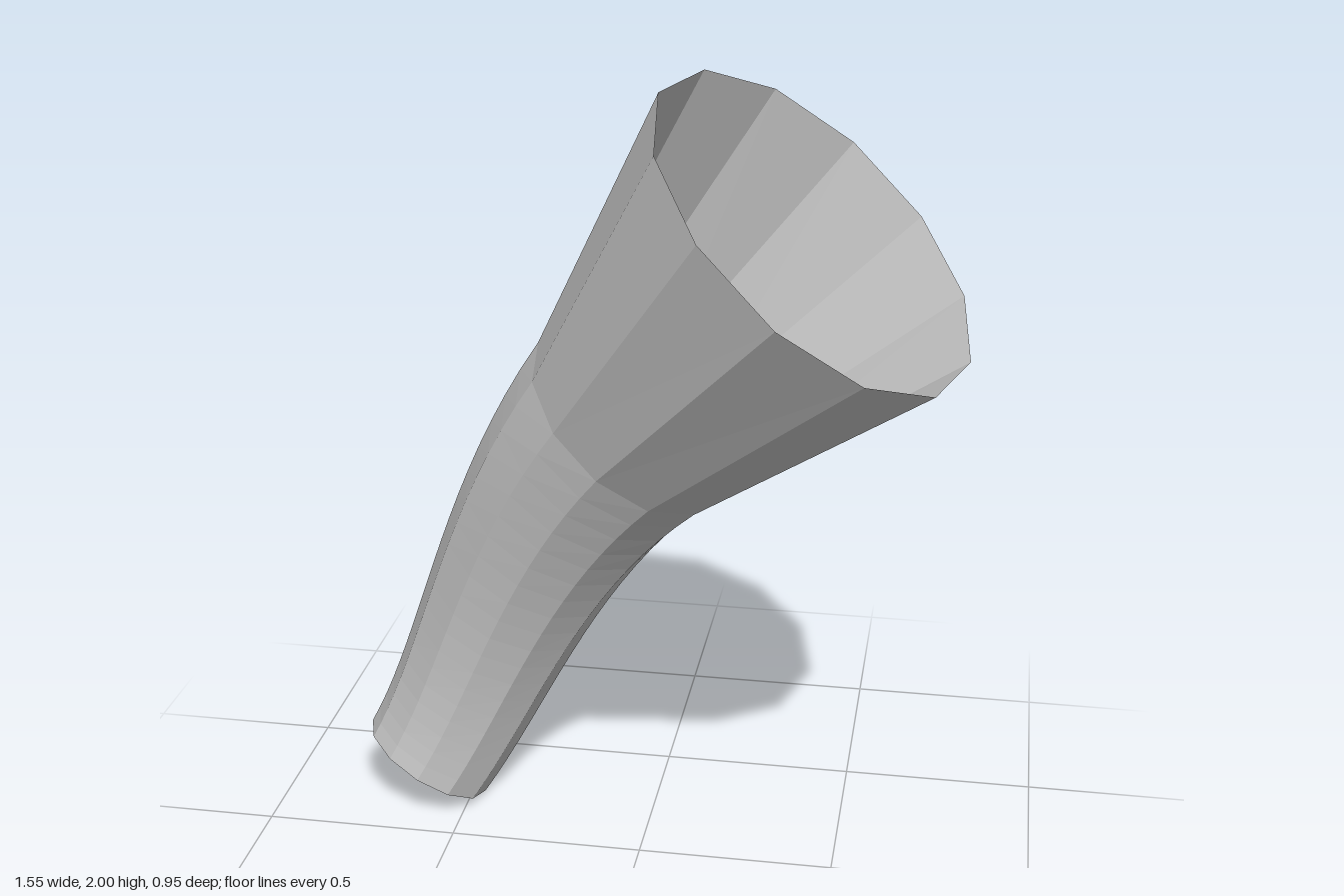
import * as THREE from 'three';

const SIDES = 12;

export function createModel() {
  const group = new THREE.Group();
  const grey = new THREE.MeshStandardMaterial({ color: 0xc8c8c8, flatShading: true, side: THREE.DoubleSide });
  grey.name = 'light grey';

  // Centre line of the bent neck, from the small opening to the start of the flare
  const path = new THREE.CubicBezierCurve3(
    new THREE.Vector3(-0.622, 0.098, -0.23),
    new THREE.Vector3(-0.461, 0.36, -0.28),
    new THREE.Vector3(-0.36, 0.78, -0.26),
    new THREE.Vector3(-0.05, 1.145, -0.155)
  );

  // One ring of points around a centre, square to the given direction
  function ring(center, direction, radius, twist) {
    const across = new THREE.Vector3(0, 0, -1).projectOnPlane(direction).normalize();
    const side = new THREE.Vector3().crossVectors(direction, across);
    return Array.from({ length: SIDES }, (_, k) => {
      const a = (k / SIDES) * Math.PI * 2 - twist;
      return center.clone()
        .addScaledVector(side, Math.cos(a) * radius)
        .addScaledVector(across, Math.sin(a) * radius);
    });
  }

  // Open skin joining successive rings
  function skin(name, rings) {
    const positions = rings.flat().flatMap((p) => p.toArray());
    const index = [];
    for (let i = 0; i < rings.length - 1; i++) {
      for (let k = 0; k < SIDES; k++) {
        const a = i * SIDES + k, b = i * SIDES + ((k + 1) % SIDES);
        index.push(a, a + SIDES, b, b, a + SIDES, b + SIDES);
      }
    }
    const geometry = new THREE.BufferGeometry();
    geometry.setAttribute('position', new THREE.Float32BufferAttribute(positions, 3));
    geometry.setIndex(index);
    geometry.computeVertexNormals();
    const mesh = new THREE.Mesh(geometry, grey);
    mesh.name = name;
    group.add(mesh);
  }

  // Bent neck, widening along its length
  const steps = 18;
  const neck = [];
  for (let i = 0; i <= steps; i++) {
    const t = i / steps;
    neck.push(ring(path.getPoint(t), path.getTangent(t), 0.182 + 0.04 * t + 0.073 * t * t, 0.04 * t));
  }
  skin('bentNeck', neck);

  // Straight flared mouth
  const mouthDirection = new THREE.Vector3(0.641, 0.737, 0.212).normalize();
  const rim = ring(new THREE.Vector3(0.4125, 1.692, 0.01), mouthDirection, 0.476, 0.064);
  skin('flaredMouth', [neck[steps], rim]);

  return group;
}
